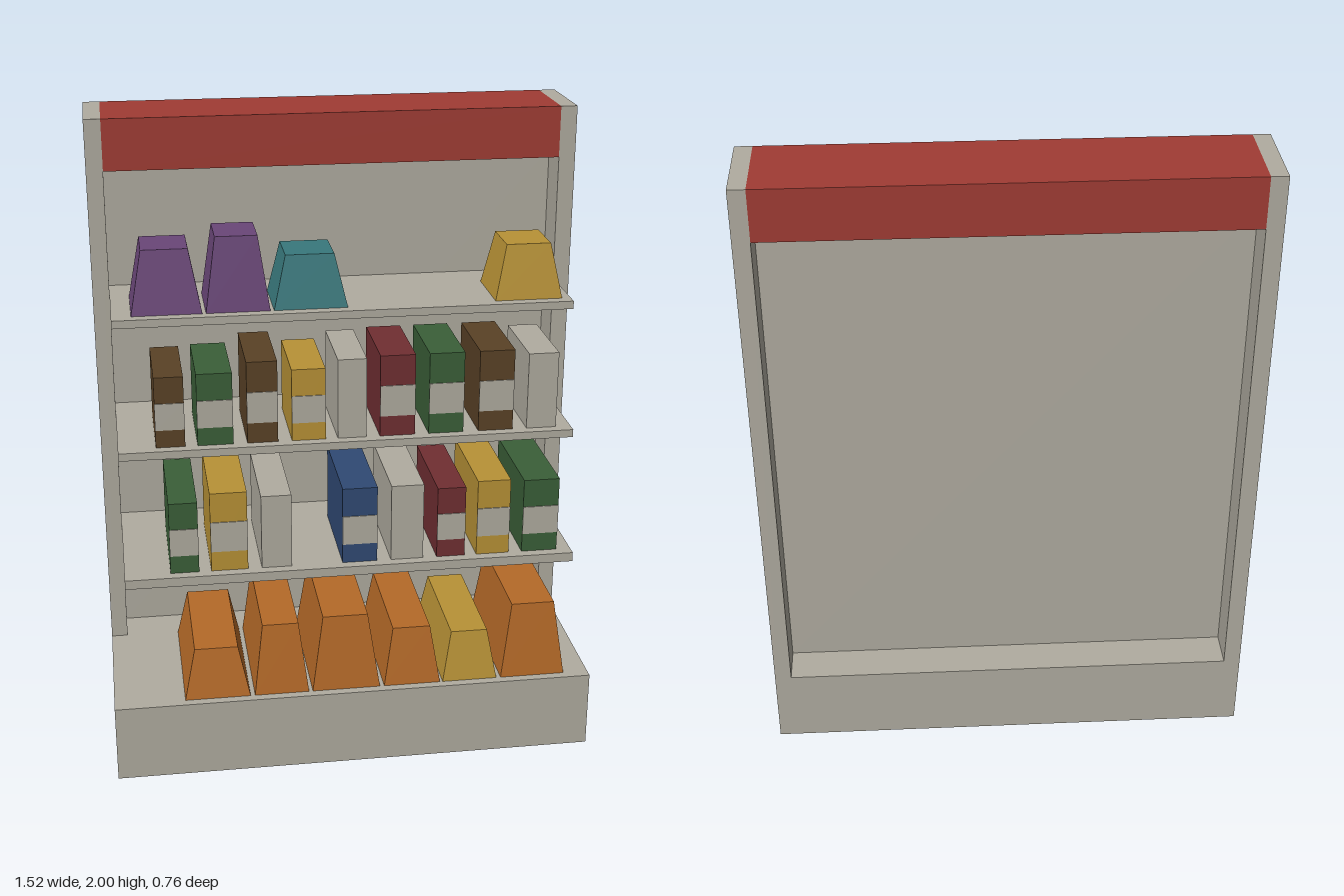
import * as THREE from 'three';

const colours = {
  grey: 0xb0aca0, red: 0xa03c34, purple: 0x6a4678, teal: 0x38787c, yellow: 0xb89236,
  orange: 0xb56a28, brown: 0x5a4226, green: 0x3a5f38, maroon: 0x702f32, blue: 0x304a74,
};

export function createModel() {
  const model = new THREE.Group();
  model.name = 'storeShelf';
  const mats = {};
  for (const [name, color] of Object.entries(colours)) {
    mats[name] = new THREE.MeshStandardMaterial({ color });
    mats[name].name = name;
  }
  mats.grey.side = THREE.DoubleSide;

  // Box given by its limits; open boxes lose their underside
  function box(name, mat, x0, x1, y0, y1, z0, z1, open = false, parent = model) {
    const geo = new THREE.BoxGeometry(x1 - x0, y1 - y0, z1 - z0);
    if (open) {
      const index = Array.from(geo.index.array);
      index.splice(18, 6);
      geo.setIndex(index);
      geo.clearGroups();
    }
    const mesh = new THREE.Mesh(geo, mats[mat]);
    mesh.position.set((x0 + x1) / 2, (y0 + y1) / 2, (z0 + z1) / 2);
    mesh.name = name;
    parent.add(mesh);
    return mesh;
  }

  // Box whose top is narrowed by insets in x and z
  function bag(mat, x0, x1, y0, y1, z0, z1, insetX, insetZ, parent) {
    const mesh = box('bag', mat, x0, x1, y0, y1, z0, z1, false, parent);
    const p = mesh.geometry.attributes.position;
    for (let i = 0; i < p.count; i++) {
      if (p.getY(i) < 0) continue;
      p.setX(i, p.getX(i) - Math.sign(p.getX(i)) * insetX);
      p.setZ(i, p.getZ(i) - Math.sign(p.getZ(i)) * insetZ);
    }
    mesh.geometry = mesh.geometry.toNonIndexed();
    mesh.geometry.computeVertexNormals();
  }

  // Frame
  const W = 0.762, IN = 0.71, BACK = -0.38, MID = -0.1;
  box('leftPost', 'grey', IN, W, 0, 2, BACK, MID, true);
  box('rightPost', 'grey', -W, -IN, 0, 2, BACK, MID, true);
  box('rearBeam', 'grey', -IN, IN, 0, 0.25, BACK, MID, true);
  box('base', 'grey', -W, W, 0, 0.25, MID, 0.38, true);
  box('backPanel', 'grey', -IN, IN, 0.25, 1.84, -0.26, -0.22);
  box('header', 'red', -IN, IN, 1.84, 2, BACK, MID);

  // Shelves, deeper towards the floor
  for (const [y0, y1, z] of [[1.42, 1.445, 0.15], [1.02, 1.045, 0.22], [0.62, 0.65, 0.29]])
    box('shelf', 'grey', -IN, IN, y0, y1, -0.22, z);

  // Tapered bags: colour, left and right limit, top height
  const bagRows = [
    ['topBags', 1.445, 0.115, [
      ['purple', -0.65, -0.435, 1.642], ['purple', -0.424, -0.228, 1.675],
      ['teal', -0.217, 0.01, 1.61], ['yellow', 0.471, 0.682, 1.616]]],
    ['bottomBags', 0.25, 0.352, [
      ['orange', -0.54, -0.334, 0.413], ['orange', -0.32, -0.148, 0.482],
      ['orange', -0.136, 0.08, 0.497], ['orange', 0.094, 0.275, 0.44],
      ['yellow', 0.284, 0.46, 0.413], ['orange', 0.474, 0.682, 0.497]]],
  ];
  for (const [name, y, z, items] of bagRows) {
    const row = new THREE.Group();
    row.name = name;
    model.add(row);
    for (const [mat, x0, x1, top] of items)
      bag(mat, x0, x1, y, top, MID, z, (x1 - x0) * 0.17, 0.028, row);
  }

  // Cartons, with a pale label band on the coloured ones
  const cartonRows = [
    ['upperCartons', 1.045, 0.187, [
      ['brown', -0.594, -0.504, 1.272], ['green', -0.466, -0.356, 1.277],
      ['brown', -0.313, -0.218, 1.308], ['yellow', -0.175, -0.07, 1.277],
      ['grey', -0.032, 0.058, 1.302], ['maroon', 0.1, 0.21, 1.308],
      ['green', 0.254, 0.364, 1.308], ['brown', 0.412, 0.522, 1.308],
      ['grey', 0.567, 0.662, 1.292]]],
    ['lowerCartons', 0.65, 0.257, [
      ['green', -0.567, -0.478, 0.885], ['yellow', -0.44, -0.325, 0.912],
      ['grey', -0.282, -0.187, 0.893], ['blue', -0.027, 0.083, 0.902],
      ['grey', 0.127, 0.23, 0.902], ['maroon', 0.274, 0.364, 0.885],
      ['yellow', 0.402, 0.507, 0.902], ['green', 0.55, 0.664, 0.896]]],
  ];
  for (const [name, y, z, items] of cartonRows) {
    const row = new THREE.Group();
    row.name = name;
    model.add(row);
    for (const [mat, x0, x1, top] of items) {
      box('carton', mat, x0, x1, y, top, MID, z, false, row);
      const h = top - y;
      if (mat !== 'grey')
        box('cartonLabel', 'grey', x0, x1, y + h * 0.25, y + h * 0.63, z, z + 0.003, false, row);
    }
  }
  return model;
}
